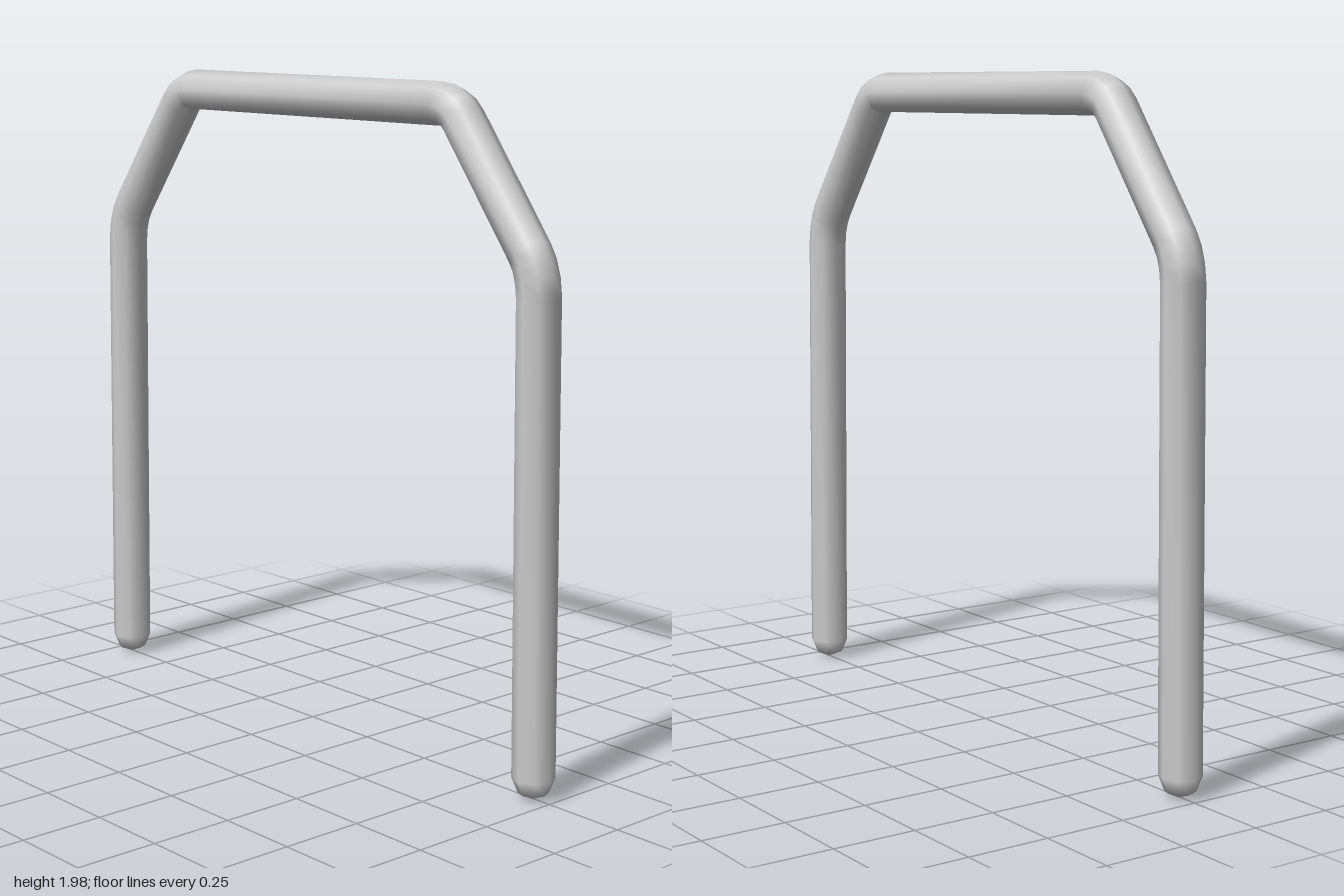
import * as THREE from 'three';
import { mergeVertices } from 'three/addons/utils/BufferGeometryUtils.js';

const SIDES = 8;
const RADIUS = 0.062;
const CAP_STEPS = 2;

const v = (x, y) => new THREE.Vector3(x, y, 0);

// Centre line of one half, from the foot up to the top bar
function halfPath() {
  const lowerBend = new THREE.QuadraticBezierCurve3(v(0.924, 1.42), v(0.921, 1.493), v(0.886, 1.54));
  const upperBend = new THREE.QuadraticBezierCurve3(v(0.63, 1.881), v(0.599, 1.923), v(0.545, 1.923));
  return [v(0.938, RADIUS), ...lowerBend.getPoints(3), ...upperBend.getPoints(3)];
}

// Sweeps a round section along the points and closes both ends with domes
function roundedTube(points) {
  const last = points.length - 1;
  const rings = points.map((p, i) => {
    const before = p.clone().sub(points[Math.max(i - 1, 0)]).normalize();
    const after = points[Math.min(i + 1, last)].clone().sub(p).normalize();
    return { center: p, tangent: before.add(after).normalize(), radius: RADIUS };
  });
  const first = rings[0], final = rings[last];
  const dome = (ring, step, sign) => {
    const a = (step / CAP_STEPS) * Math.PI / 2;
    return {
      center: ring.center.clone().addScaledVector(ring.tangent, sign * RADIUS * Math.sin(a)),
      tangent: ring.tangent,
      radius: step === CAP_STEPS ? 0 : RADIUS * Math.cos(a),
    };
  };
  for (let s = 1; s <= CAP_STEPS; s++) {
    rings.unshift(dome(first, s, -1));
    rings.push(dome(final, s, 1));
  }

  const positions = [], index = [];
  rings.forEach(({ center, tangent, radius }, i) => {
    for (let j = 0; j < SIDES; j++) {
      const a = (j / SIDES) * Math.PI * 2;
      const across = radius * Math.cos(a);
      positions.push(center.x - tangent.y * across, center.y + tangent.x * across, radius * Math.sin(a));
      if (i === rings.length - 1) continue;
      const k = (j + 1) % SIDES;
      const p = i * SIDES + j, q = i * SIDES + k;
      if (i > 0) index.push(p, q, p + SIDES);
      if (i < rings.length - 2) index.push(q, q + SIDES, p + SIDES);
      else index.push(p, q, p + SIDES);
    }
  });
  const geometry = new THREE.BufferGeometry();
  geometry.setAttribute('position', new THREE.Float32BufferAttribute(positions, 3));
  geometry.setIndex(index);
  const welded = mergeVertices(geometry);
  welded.computeVertexNormals();
  return welded;
}

export function createModel() {
  const group = new THREE.Group();
  group.name = 'tubularArch';

  // Mirror the half path to run from the left foot to the right foot
  const left = halfPath();
  const right = left.map((p) => v(-p.x, p.y)).reverse();
  const frame = new THREE.Mesh(
    roundedTube([...left, ...right]),
    new THREE.MeshStandardMaterial({ color: 0xcccccc })
  );
  frame.name = 'bentTubeFrame';
  group.add(frame);
  return group;
}
